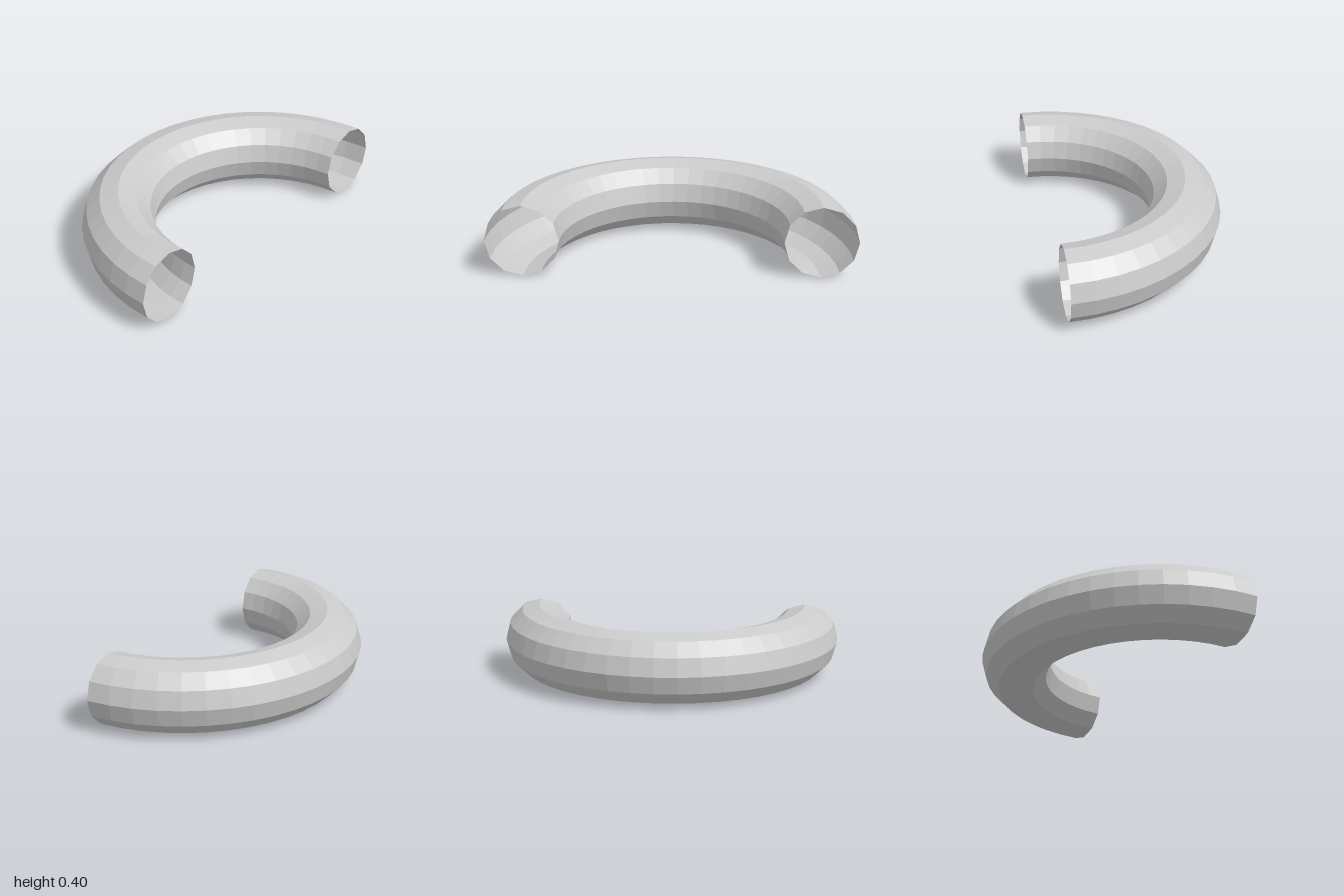
import * as THREE from 'three';

export function createModel() {
  const group = new THREE.Group();
  const ringRadius = 0.8, tubeRadius = 0.2;

  // Open-ended half ring, faceted, laid flat with both ends facing +x
  const geometry = new THREE.TorusGeometry(ringRadius, tubeRadius, 12, 24, Math.PI);
  geometry.rotateZ(Math.PI / 2);
  geometry.rotateX(Math.PI / 2);
  geometry.translate(0.5, tubeRadius, 0);

  const material = new THREE.MeshStandardMaterial({
    color: 0xcccccc,
    flatShading: true,
    side: THREE.DoubleSide,
  });
  const tube = new THREE.Mesh(geometry, material);
  tube.name = 'halfRingTube';
  group.add(tube);
  return group;
}
